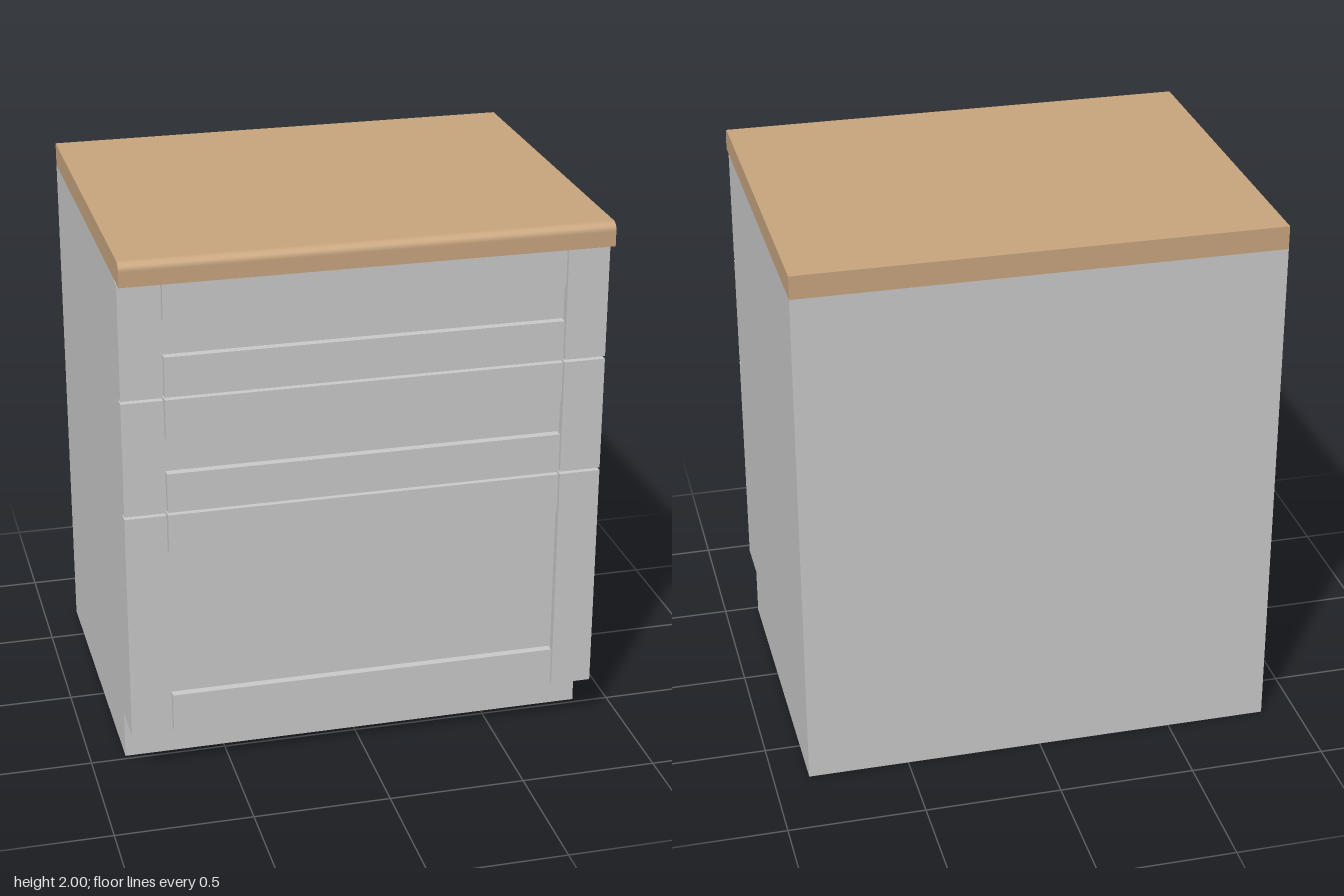
import * as THREE from 'three';

const grey = new THREE.MeshStandardMaterial({ color: 0xcccccc, side: THREE.DoubleSide });
const wood = new THREE.MeshStandardMaterial({ color: 0xc9a67f, side: THREE.DoubleSide });

const HALF_W = 0.87, BACK = -0.7, FLOOR = 0.18, TOP = 1.915;
const CARCASS_FRONT = 0.61, FACE = 0.65, KICK = 0.48;

// Box given by its minimum and maximum corners
function slab(name, x0, x1, y0, y1, z0, z1) {
  const mesh = new THREE.Mesh(new THREE.BoxGeometry(x1 - x0, y1 - y0, z1 - z0), grey);
  mesh.position.set((x0 + x1) / 2, (y0 + y1) / 2, (z0 + z1) / 2);
  mesh.name = name;
  return mesh;
}

// Shaker drawer front: two stiles, two rails and a recessed panel
function drawerFront(name, y0, y1) {
  const g = new THREE.Group();
  g.name = name;
  const inner = 0.724, railEnd = 0.716, rail = 0.147;
  g.add(slab('rightStile', -HALF_W, -inner, y0, y1, CARCASS_FRONT, FACE));
  g.add(slab('leftStile', inner - 0.005, HALF_W, y0, y1, CARCASS_FRONT, FACE));
  g.add(slab('bottomRail', -railEnd, railEnd - 0.003, y0, y0 + rail, CARCASS_FRONT, FACE));
  g.add(slab('topRail', -railEnd, railEnd - 0.003, y1 - rail, y1, CARCASS_FRONT, FACE));
  g.add(slab('panel', -inner, inner - 0.005, y0, y1, CARCASS_FRONT, 0.62));
  return g;
}

// Worktop with a rounded upper front edge, profile drawn in z and y
function worktop() {
  const r = 0.03, front = 0.7, top = 2;
  const s = new THREE.Shape();
  s.moveTo(BACK, TOP);
  s.lineTo(front, TOP);
  s.lineTo(front, top - r);
  s.absarc(front - r, top - r, r, 0, Math.PI / 2, false);
  s.lineTo(BACK, top);
  s.closePath();
  const geo = new THREE.ExtrudeGeometry(s, { depth: HALF_W * 2, bevelEnabled: false, curveSegments: 6 });
  geo.rotateY(-Math.PI / 2);
  geo.translate(HALF_W, 0, 0);
  const mesh = new THREE.Mesh(geo, wood);
  mesh.name = 'worktop';
  return mesh;
}

// Hollow plinth of thin boards, open underneath
function plinth() {
  const g = new THREE.Group();
  g.name = 'plinth';
  const depth = KICK - BACK, mid = (KICK + BACK) / 2;
  const board = (name, width, x, z, turn) => {
    const mesh = new THREE.Mesh(new THREE.PlaneGeometry(width, FLOOR), grey);
    mesh.position.set(x, FLOOR / 2, z);
    mesh.rotation.y = turn;
    mesh.name = name;
    g.add(mesh);
  };
  board('kickBoard', HALF_W * 2, 0, KICK, 0);
  board('plinthBack', HALF_W * 2, 0, BACK, Math.PI);
  for (const side of [-1, 1]) {
    board(side > 0 ? 'leftPlinthSide' : 'rightPlinthSide', depth, side * HALF_W, mid, side * Math.PI / 2);
  }
  return g;
}

export function createModel() {
  const model = new THREE.Group();
  model.name = 'drawerCabinet';
  model.add(slab('carcass', -HALF_W, HALF_W, FLOOR, TOP, BACK, CARCASS_FRONT));
  model.add(plinth());
  model.add(drawerFront('lowerDrawer', FLOOR, 1.043));
  model.add(drawerFront('middleDrawer', 1.053, 1.477));
  model.add(drawerFront('upperDrawer', 1.487, 1.91));
  model.add(worktop());
  return model;
}
